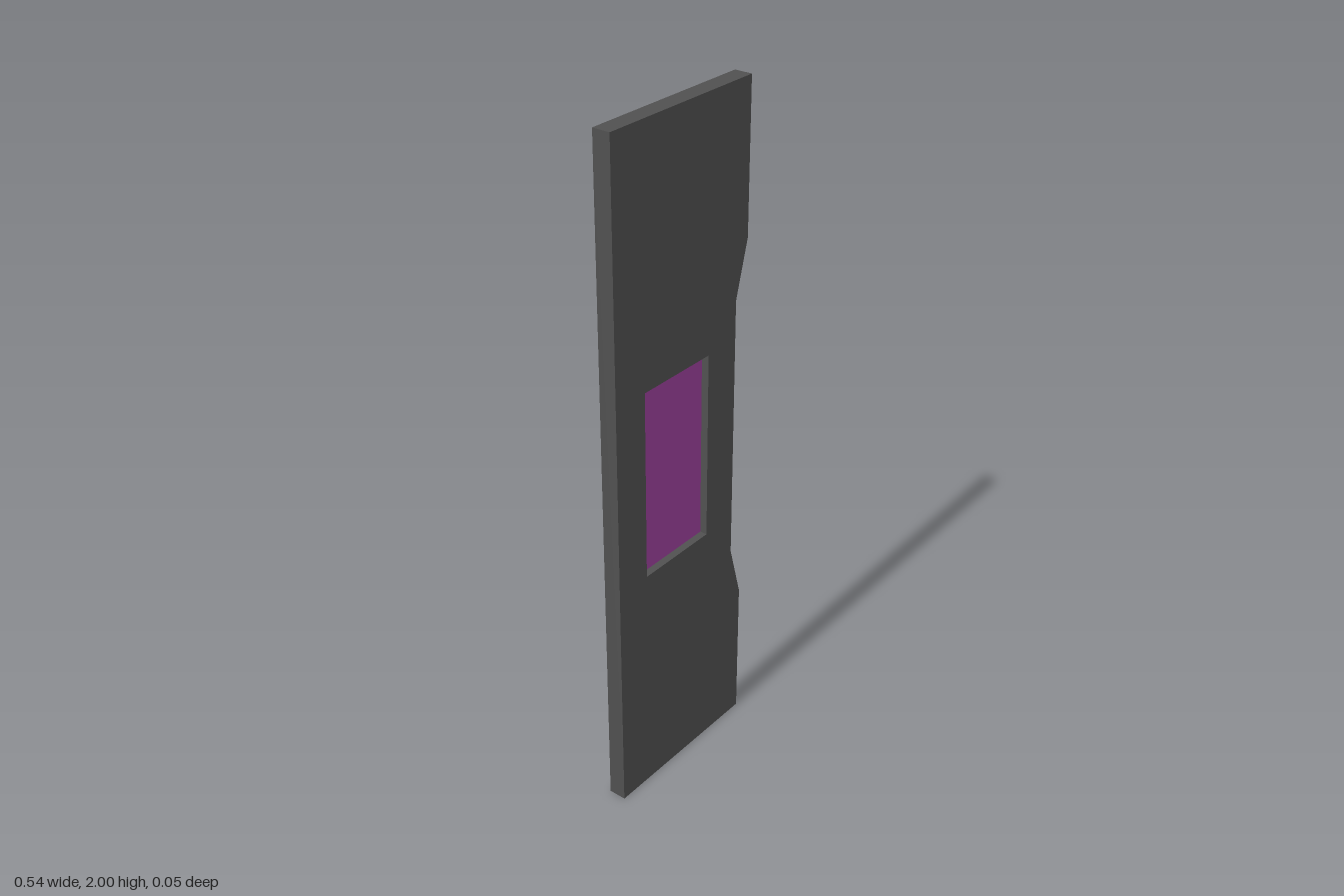
import * as THREE from 'three';
import { mergeGeometries } from 'three/addons/utils/BufferGeometryUtils.js';

const FRONT = 0.026, BACK = -0.026, FLOOR = 0.004;

// Slab outline, counter-clockwise, with a shallow notch along its left edge
const OUTLINE = [
  [-0.27, 0], [0.27, 0], [0.27, 0.435], [0.224, 0.6],
  [0.224, 1.4], [0.27, 1.565], [0.27, 2], [-0.27, 2],
];
// Recess outline, clockwise so that its walls face inwards
const RECESS = [[-0.157, 0.72], [-0.157, 1.285], [0.107, 1.285], [0.107, 0.72]];

const toPoints = (list) => list.map(([x, y]) => new THREE.Vector2(x, y));

// Flat-shaded strip of walls along a closed outline
function walls(list, z0, z1) {
  const parts = list.map(([x0, y0], i) => {
    const [x1, y1] = list[(i + 1) % list.length];
    const wall = new THREE.PlaneGeometry(Math.hypot(x1 - x0, y1 - y0), z1 - z0);
    wall.rotateX(Math.PI / 2);
    wall.rotateZ(Math.atan2(y1 - y0, x1 - x0));
    return wall.translate((x0 + x1) / 2, (y0 + y1) / 2, (z0 + z1) / 2);
  });
  return mergeGeometries(parts);
}

export function createModel() {
  const group = new THREE.Group();
  group.name = 'notchedPanel';
  const add = (name, geometry, color) => {
    const mesh = new THREE.Mesh(geometry, new THREE.MeshStandardMaterial({ color }));
    mesh.name = name;
    group.add(mesh);
  };

  // Slab: pierced front, solid back, outer edges and recess walls
  const frontShape = new THREE.Shape(toPoints(OUTLINE));
  frontShape.holes.push(new THREE.Path(toPoints(RECESS)));
  const front = new THREE.ShapeGeometry(frontShape).translate(0, 0, FRONT);
  const mirrored = OUTLINE.map(([x, y]) => [-x, y]).reverse();
  const back = new THREE.ShapeGeometry(new THREE.Shape(toPoints(mirrored)))
    .rotateY(Math.PI).translate(0, 0, BACK);
  const edges = walls(OUTLINE, BACK, FRONT);
  const recessWalls = walls(RECESS, FLOOR, FRONT);
  // PlaneGeometry faces +z; rotated about x by +90 degrees it faces -y, the outer side
  add('slab', mergeGeometries([front, back, edges, recessWalls]), 0x505050);

  // Coloured floor of the recess
  const floor = new THREE.ShapeGeometry(new THREE.Shape(toPoints([...RECESS].reverse())));
  add('recessFloor', floor.translate(0, 0, FLOOR), 0x9b3f9b);

  return group;
}
